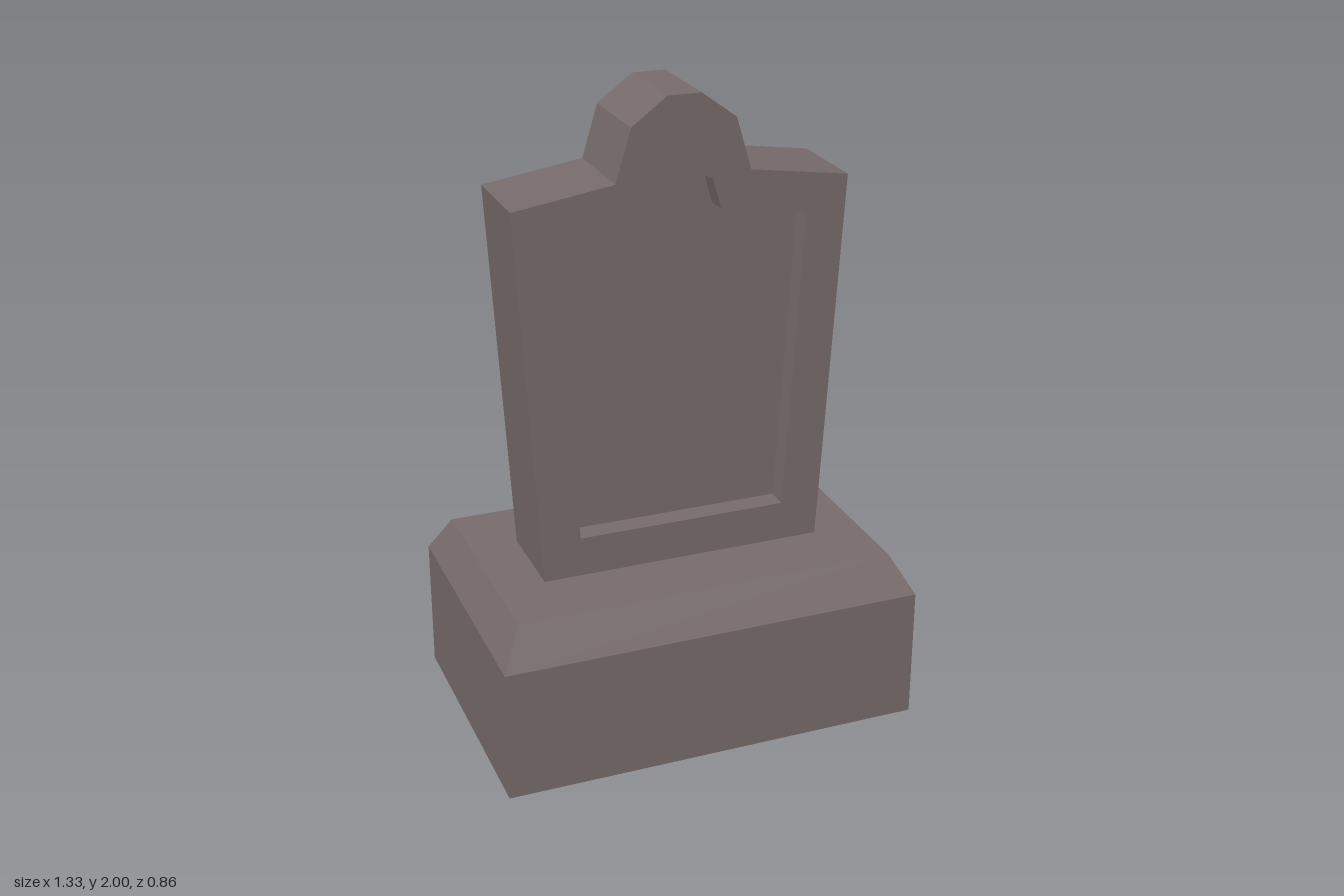
import * as THREE from 'three';

// Closed symmetric outline from its right half, listed bottom to top
function mirrored(half) {
  const left = half.map(([x, y]) => [-x, y]).reverse();
  return [...half, ...left].map(([x, y]) => new THREE.Vector2(x, y));
}

function extruded(shape, depth, z, name, material) {
  const geometry = new THREE.ExtrudeGeometry(shape, { depth, bevelEnabled: false });
  geometry.translate(0, 0, z);
  const mesh = new THREE.Mesh(geometry, material);
  mesh.name = name;
  return mesh;
}

export function createModel() {
  const stone = new THREE.MeshStandardMaterial({ color: 0x776a6a });
  stone.name = 'grey stone';
  const model = new THREE.Group();
  model.name = 'gravestone';

  // Plinth: a box with its top ring drawn in to make the chamfer
  const W = 0.665, D = 0.43, H = 0.54, shoulder = 0.42;
  const box = new THREE.BoxGeometry(2 * W, H, 2 * D, 1, 2, 1).toNonIndexed();
  box.translate(0, H / 2, 0);
  const p = box.attributes.position;
  for (let i = 0; i < p.count; i++) {
    const y = p.getY(i);
    if (y > H * 0.75) {
      p.setX(i, Math.sign(p.getX(i)) * 0.6);
      p.setZ(i, Math.sign(p.getZ(i)) * 0.36);
    } else if (y > H * 0.25) {
      p.setY(i, shoulder);
    }
  }
  box.computeVertexNormals();
  const plinth = new THREE.Mesh(box, stone);
  plinth.name = 'plinth';
  model.add(plinth);

  // Headstone: solid back slab and a front frame around the sunken panel
  const outline = mirrored([[0.449, H], [0.518, 1.713], [0.208, 1.76], [0.16, 1.92], [0.052, 2]]);
  const panel = mirrored([[0.332, 0.665], [0.388, 1.608], [0.115, 1.652], [0.088, 1.745], [0.03, 1.775]]);
  const half = 0.143, recess = 0.07;
  const frame = new THREE.Shape(outline);
  frame.holes.push(new THREE.Path(panel));
  model.add(
    extruded(new THREE.Shape(outline), 2 * half - recess, -half, 'headstoneSlab', stone),
    extruded(frame, recess, half - recess, 'headstoneFrame', stone),
  );
  return model;
}
